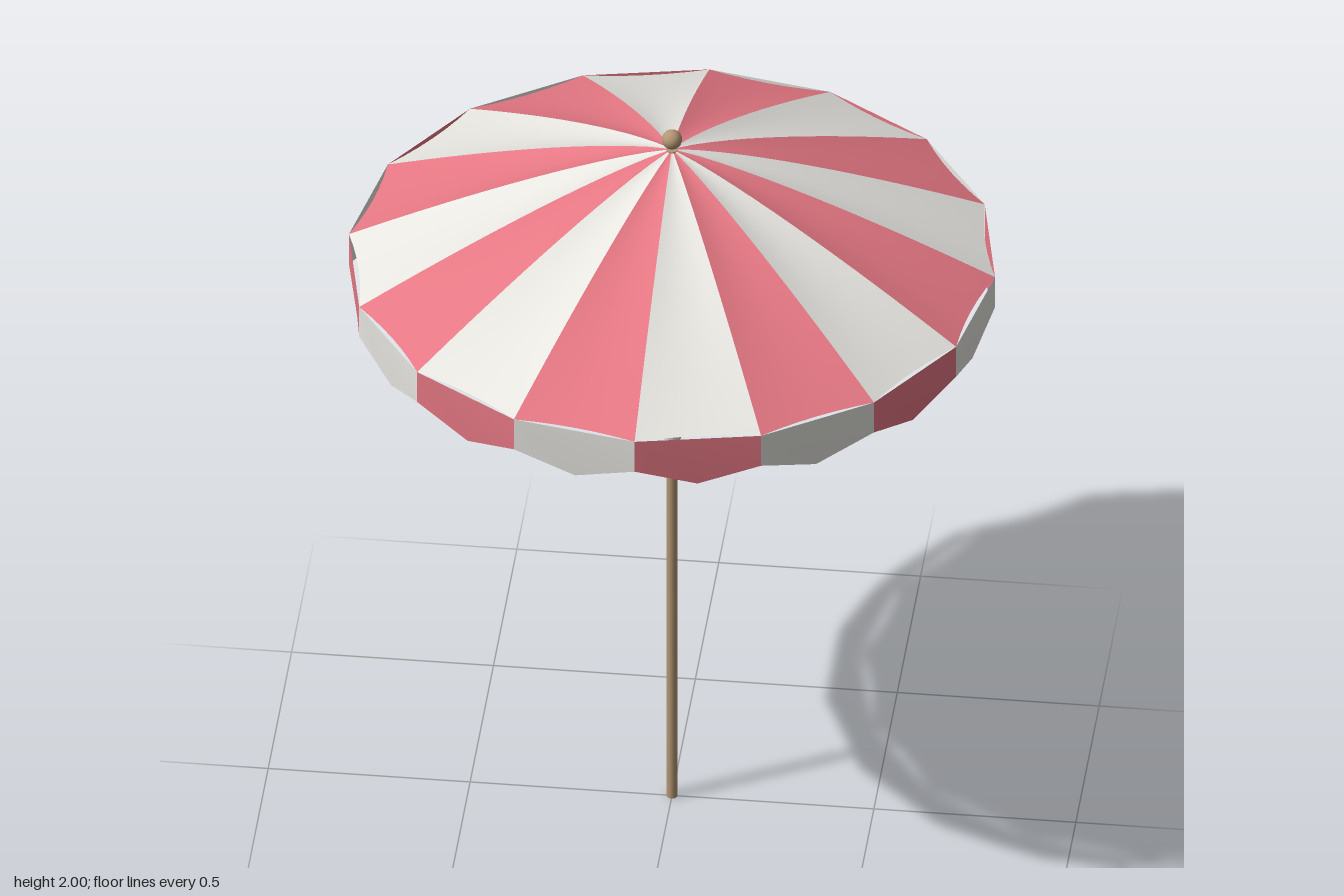
import * as THREE from 'three';
import { mergeGeometries } from 'three/addons/utils/BufferGeometryUtils.js';

const PANELS = 16, RADIUS = 0.8, APEX = 1.945, RIM = 1.625;
const STEP = (Math.PI * 2) / PANELS;

const material = (name, color, side = THREE.FrontSide) =>
  Object.assign(new THREE.MeshStandardMaterial({ color, side }), { name });

// height of the canopy at t (0 = apex, 1 = rim)
const heightAt = (t) => APEX - (APEX - RIM) * Math.pow(t, 1.23);

// point on the straight line between two neighbouring rib directions
function chord(i, u) {
  const a = i * STEP, b = a + STEP;
  return [
    THREE.MathUtils.lerp(Math.cos(a), Math.cos(b), u) * RADIUS,
    THREE.MathUtils.lerp(Math.sin(a), Math.sin(b), u) * RADIUS,
  ];
}

// move every vertex of a geometry by a rule
function reshape(geometry, rule) {
  const p = geometry.attributes.position;
  for (let k = 0; k < p.count; k++) p.setXYZ(k, ...rule(p.getX(k), p.getY(k)));
  geometry.computeVertexNormals();
  return geometry;
}

// fabric wedge, sagging a little between its ribs
function canopyPanel(i) {
  return reshape(new THREE.PlaneGeometry(1, 1, 6, 14), (x, y) => {
    const u = 0.5 - x, t = 0.01 + 0.99 * (0.5 - y);
    const [cx, cz] = chord(i, u);
    const slack = 4 * u * (1 - u);
    const s = t * (1 - 0.015 * slack * t);
    return [cx * s, heightAt(t) - 0.008 * slack * Math.sin(Math.PI * t), cz * s];
  });
}

// hanging flap with a pointed lower edge
function valanceFlap(i) {
  const shape = new THREE.Shape([[0, 0], [0, -0.09], [0.5, -0.14], [1, -0.09], [1, 0]]
    .map(([x, y]) => new THREE.Vector2(x, y)));
  return reshape(new THREE.ShapeGeometry(shape), (x, y) => {
    const u = 1 - x;
    const [cx, cz] = chord(i, u);
    const s = y < -0.1 ? 0.99 : 1;
    return [cx * s, RIM + y, cz * s];
  });
}

// thin round rod between two points
function rod(from, to, radius) {
  const dir = new THREE.Vector3().subVectors(to, from);
  const g = new THREE.CylinderGeometry(radius, radius, dir.length(), 6);
  g.applyQuaternion(new THREE.Quaternion().setFromUnitVectors(
    new THREE.Vector3(0, 1, 0), dir.clone().normalize()));
  const mid = from.clone().add(to).multiplyScalar(0.5);
  return g.translate(mid.x, mid.y, mid.z);
}

export function createModel() {
  const group = new THREE.Group();
  const red = material('red fabric', 0xe67884, THREE.DoubleSide);
  const white = material('white fabric', 0xe8e7e2, THREE.DoubleSide);
  const wood = material('wood', 0xb39674);
  const plastic = material('pale grey fitting', 0xd4d4d2);
  const metal = material('grey metal', 0x8c8c8c);

  function add(name, geometry, mat, y = 0) {
    const mesh = new THREE.Mesh(geometry, mat);
    mesh.name = name;
    mesh.position.y = y;
    group.add(mesh);
  }

  // canopy and valance, with opposite stripe order
  const even = [...Array(PANELS / 2).keys()].map((k) => 2 * k);
  const odd = even.map((k) => k + 1);
  add('redCanopyPanels', mergeGeometries(even.map(canopyPanel)), red);
  add('whiteCanopyPanels', mergeGeometries(odd.map(canopyPanel)), white);
  add('redValance', mergeGeometries(odd.map(valanceFlap)), red);
  add('whiteValance', mergeGeometries(even.map(valanceFlap)), white);

  // pole and finial
  add('pole', new THREE.CylinderGeometry(0.0135, 0.0135, 1.945, 20), wood, 0.9725);
  add('finial', new THREE.SphereGeometry(0.025, 20, 14), wood, 1.975);

  // collars on the pole
  add('lowerCollar', new THREE.CylinderGeometry(0.024, 0.024, 0.056, 20), plastic, 1.11);
  add('runner', new THREE.CylinderGeometry(0.024, 0.024, 0.056, 20), plastic, 1.545);

  // ribs under the fabric and stretchers from the runner
  const ribs = [], stretchers = [];
  for (let k = 0; k < 8; k++) {
    const a = 2 * k * STEP;
    const at = (r, y) => new THREE.Vector3(Math.cos(a) * r, y, Math.sin(a) * r);
    const onRib = (t) => at(RADIUS * t, heightAt(t) - 0.007);
    const path = new THREE.CatmullRomCurve3([0.02, 0.25, 0.5, 0.75, 0.99].map(onRib));
    ribs.push(new THREE.TubeGeometry(path, 12, 0.005, 6));
    stretchers.push(rod(at(0.02, 1.55), onRib(0.6), 0.004));
  }
  add('ribs', mergeGeometries(ribs), metal);
  add('stretchers', mergeGeometries(stretchers), metal);
  return group;
}
